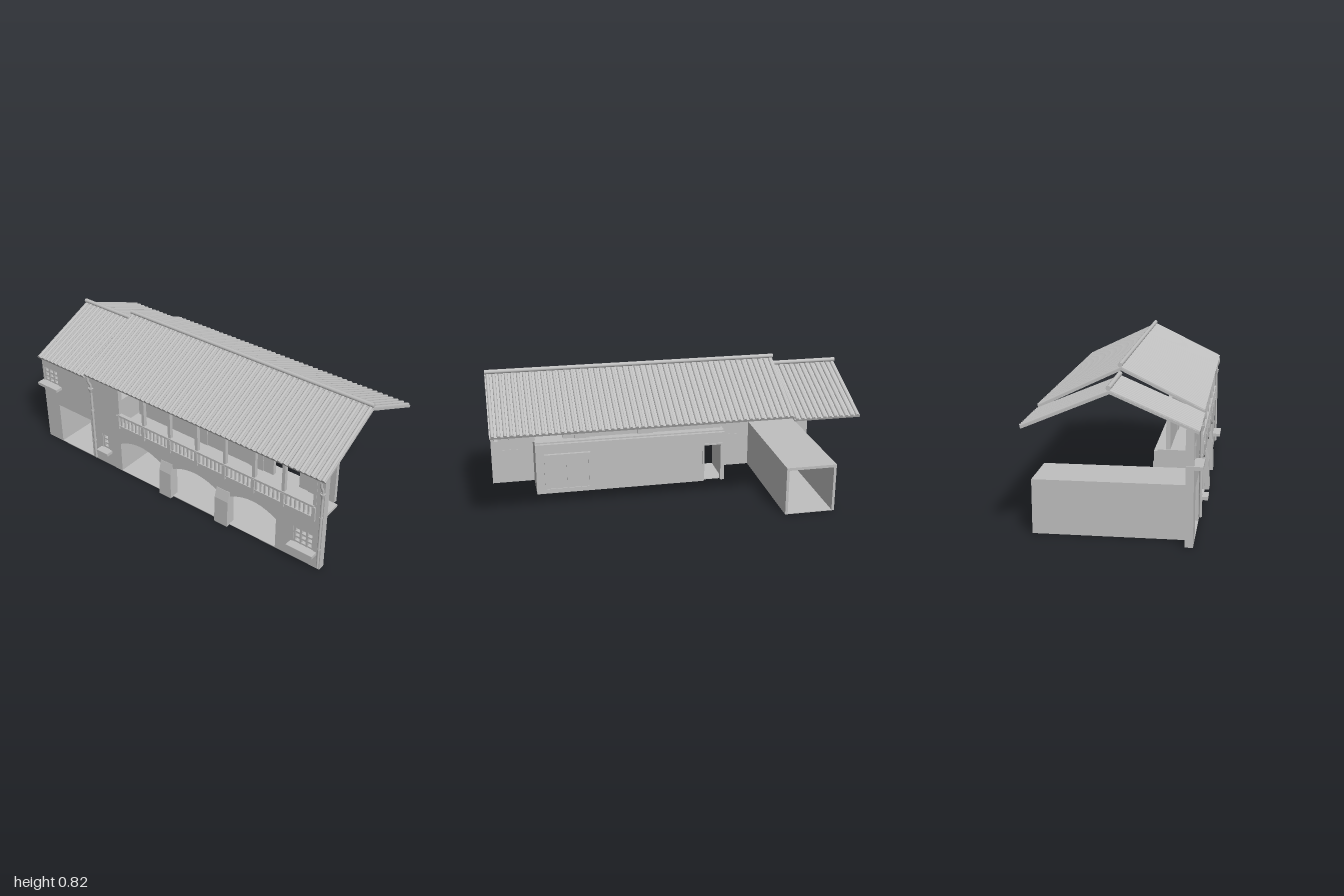
import * as THREE from 'three';

const grey = new THREE.MeshStandardMaterial({ color: 0xbfbfbf });
grey.name = 'plaster grey';
grey.side = THREE.DoubleSide;

export function createModel() {
  const model = new THREE.Group();
  model.name = 'farmhouse';

  function add(name, geo, parent = model) {
    const m = new THREE.Mesh(geo, grey);
    m.name = name;
    parent.add(m);
    return m;
  }
  // Box given by its limits on each axis
  function box(name, x0, x1, y0, y1, z0, z1, parent = model) {
    const m = add(name, new THREE.BoxGeometry(x1 - x0, y1 - y0, z1 - z0), parent);
    m.position.set((x0 + x1) / 2, (y0 + y1) / 2, (z0 + z1) / 2);
    return m;
  }
  function rectHole(x0, x1, y0, y1) {
    return new THREE.Path([[x0, y0], [x0, y1], [x1, y1], [x1, y0]].map(p => new THREE.Vector2(...p)));
  }
  function extrude(name, shape, z0, z1) {
    const geo = new THREE.ExtrudeGeometry(shape, { depth: z1 - z0, bevelEnabled: false, curveSegments: 10 });
    add(name, geo).position.z = z0;
  }

  // Front wall: garage gate and three arches cut the lower edge
  const wall = new THREE.Shape();
  wall.moveTo(-0.995, 0);
  wall.lineTo(-0.88, 0); wall.lineTo(-0.88, 0.265);
  wall.lineTo(-0.62, 0.265); wall.lineTo(-0.62, 0);
  for (const [x0, x1] of [[-0.385, -0.08], [0.005, 0.325], [0.405, 0.71]]) {
    wall.lineTo(x0, 0);
    wall.lineTo(x0, 0.195);
    wall.quadraticCurveTo((x0 + x1) / 2, 0.285, x1, 0.195);
    wall.lineTo(x1, 0);
  }
  wall.lineTo(0.99, 0); wall.lineTo(0.99, 0.583); wall.lineTo(-0.995, 0.583);
  wall.closePath();
  wall.holes.push(rectHole(-0.395, 0.94, 0.32, 0.565));

  // Windows: x0, x1, y0, y1, columns, rows
  const windows = [
    [-0.985, -0.865, 0.405, 0.505, 3, 3],
    [0.82, 0.945, 0.105, 0.21, 3, 3],
    [-0.53, -0.48, 0.11, 0.21, 1, 3],
  ];
  for (const [x0, x1, y0, y1, cols, rows] of windows) {
    wall.holes.push(rectHole(x0, x1, y0, y1));
    const g = new THREE.Group();
    g.name = 'window';
    model.add(g);
    box('windowPane', x0, x1, y0, y1, 0.358, 0.375, g);
    for (let i = 0; i <= cols; i++) {
      const x = x0 + 0.006 + (x1 - x0 - 0.012) * i / cols;
      box('windowBar', x - 0.006, x + 0.006, y0, y1, 0.37, 0.396, g);
    }
    for (let i = 0; i <= rows; i++) {
      const y = y0 + 0.005 + (y1 - y0 - 0.01) * i / rows;
      box('windowBar', x0, x1, y - 0.005, y + 0.005, 0.37, 0.395, g);
    }
    box('windowSill', x0 - 0.015, x1 + 0.02, y0 - 0.018, y0, 0.36, 0.444, g);
  }
  extrude('frontWall', wall, 0.36, 0.4);

  // Sloped buttresses between the arches
  for (const [x0, x1] of [[-0.075, 0.008], [0.32, 0.408]]) {
    const s = new THREE.Shape([[0.4, 0], [0.425, 0], [0.42, 0.165], [0.402, 0.225], [0.4, 0.225]]
      .map(([z, y]) => new THREE.Vector2(-z, y)));
    const m = add('buttress', new THREE.ExtrudeGeometry(s, { depth: x1 - x0, bevelEnabled: false }));
    m.rotation.y = Math.PI / 2;
    m.position.x = x0;
  }

  // Garage passage, open at both ends
  box('garageRoof', -0.895, -0.605, 0.265, 0.281, -0.41, 0.36);
  box('garageFloor', -0.895, -0.605, 0, 0.004, -0.41, 0.4);
  box('garageSide', -0.895, -0.88, 0.004, 0.265, -0.41, 0.36);
  box('garageSide', -0.62, -0.605, 0.004, 0.265, -0.41, 0.36);

  // Arcade room behind the arches
  const back = new THREE.Shape([[-0.395, 0], [-0.375, 0], [-0.375, 0.235], [-0.265, 0.235], [-0.265, 0],
    [0.74, 0], [0.74, 0.308], [-0.395, 0.308]].map(p => new THREE.Vector2(...p)));
  extrude('arcadeBackWall', back, 0.142, 0.162);
  box('arcadeFloor', -0.395, 0.74, 0, 0.004, 0.162, 0.4);
  box('arcadeEndWall', -0.395, -0.385, 0.004, 0.3, 0.162, 0.36);
  box('arcadeEndWall', 0.725, 0.74, 0.004, 0.3, 0.162, 0.36);
  box('balconyFloor', -0.395, 0.74, 0.3, 0.316, 0.162, 0.36);
  box('balconyFloorEnd', 0.74, 0.97, 0.3, 0.316, 0.23, 0.36);

  // Back door jambs
  for (const x of [-0.38, -0.27]) box('doorJamb', x, x + 0.01, 0.004, 0.24, 0.137, 0.166);
  box('doorLintel', -0.38, -0.26, 0.232, 0.242, 0.137, 0.166);

  // Sliding glass door in the arcade back wall
  box('glassDoor', 0.42, 0.69, 0.025, 0.25, 0.13, 0.17);
  for (const [z0, z1] of [[0.124, 0.131], [0.169, 0.176]]) {
    for (const x of [0.42, 0.55, 0.68]) box('glassDoorFrame', x, x + 0.012, 0.025, 0.25, z0, z1);
    for (const y of [0.025, 0.24]) box('glassDoorFrame', 0.42, 0.69, y, y + 0.01, z0, z1);
  }

  // Upper wall behind the balcony, with an open bay
  box('upperWall', -0.385, 0.57, 0.316, 0.583, 0.207, 0.23);
  box('upperWall', 0.735, 0.95, 0.316, 0.583, 0.207, 0.23);
  box('upperWallHeader', 0.57, 0.735, 0.56, 0.583, 0.207, 0.23);
  for (const x of [0.035, 0.415, 0.795]) box('balconyDoor', x, x + 0.09, 0.316, 0.548, 0.193, 0.235);

  // Balcony posts, brackets and railing
  const railing = new THREE.Group();
  railing.name = 'balconyRailing';
  model.add(railing);
  for (const x of [-0.39, -0.2, -0.01, 0.18, 0.37, 0.56, 0.745, 0.935]) {
    box('balconyPost', x - 0.009, x + 0.009, 0.32, 0.57, 0.38, 0.402, railing);
    box('postFoot', x - 0.01, x + 0.01, 0.305, 0.395, 0.395, 0.41, railing);
  }
  box('handRail', -0.39, 0.935, 0.39, 0.402, 0.385, 0.408, railing);
  box('bottomRail', -0.39, 0.935, 0.32, 0.328, 0.388, 0.406, railing);
  for (let x = -0.368; x < 0.925; x += 0.027) {
    box('baluster', x - 0.004, x + 0.004, 0.326, 0.392, 0.392, 0.402, railing);
  }

  // Rain pipes with a funnel and clips
  for (const [x, r] of [[-0.588, 0.008], [0.982, 0.007]]) {
    const g = new THREE.Group();
    g.name = 'rainPipe';
    g.position.set(x, 0, 0.408);
    model.add(g);
    add('pipe', new THREE.CylinderGeometry(r, r, 0.48, 10), g).position.y = 0.255;
    add('funnel', new THREE.CylinderGeometry(r * 2, r * 1.1, 0.03, 10), g).position.y = 0.49;
    const bend = new THREE.CatmullRomCurve3([[0, 0.49, 0], [0, 0.525, 0.002], [-0.004, 0.55, 0.012], [-0.004, 0.58, 0.014]]
      .map(p => new THREE.Vector3(...p)));
    add('pipeBend', new THREE.TubeGeometry(bend, 10, r, 8), g);
    for (const y of [0.14, 0.35]) add('pipeClip', new THREE.CylinderGeometry(r + 0.002, r + 0.002, 0.008, 10), g).position.y = y;
  }

  // Roofs: sloped slabs carrying rows of half-round tiles, with a ridge cap
  function roof(x0, x1, ridgeY, eaveY) {
    const g = new THREE.Group();
    g.name = 'roof';
    model.add(g);
    const count = Math.round((x1 - x0) / 0.0325);
    const pitch = (x1 - x0) / count;
    for (const [sign, reach] of [[1, 0.43], [-1, 0.44]]) {
      const side = new THREE.Group();
      side.name = sign > 0 ? 'frontSlope' : 'backSlope';
      side.position.y = ridgeY;
      side.rotation.x = sign * Math.atan2(ridgeY - eaveY, reach);
      g.add(side);
      const len = Math.hypot(reach, ridgeY - eaveY) - 0.003;
      box('roofSlab', x0, x1, -0.02, -0.008, sign > 0 ? 0 : -len, sign > 0 ? len : 0, side);
      const tile = new THREE.CylinderGeometry(0.0095, 0.0095, len, 6, 1, false, Math.PI / 2, Math.PI);
      tile.rotateX(Math.PI / 2);
      for (let i = 0; i < count; i++) {
        add('tileRow', tile, side).position.set(x0 + (i + 0.5) * pitch, -0.008, sign * len / 2);
      }
    }
    const cap = add('ridgeCap', new THREE.CylinderGeometry(0.012, 0.012, x1 - x0, 12), g);
    cap.rotation.z = Math.PI / 2;
    cap.position.set((x0 + x1) / 2, ridgeY + 0.006, -0.005);
  }
  roof(-0.625, 1, 0.807, 0.597);
  roof(-1, -0.625, 0.764, 0.58);

  return model;
}
